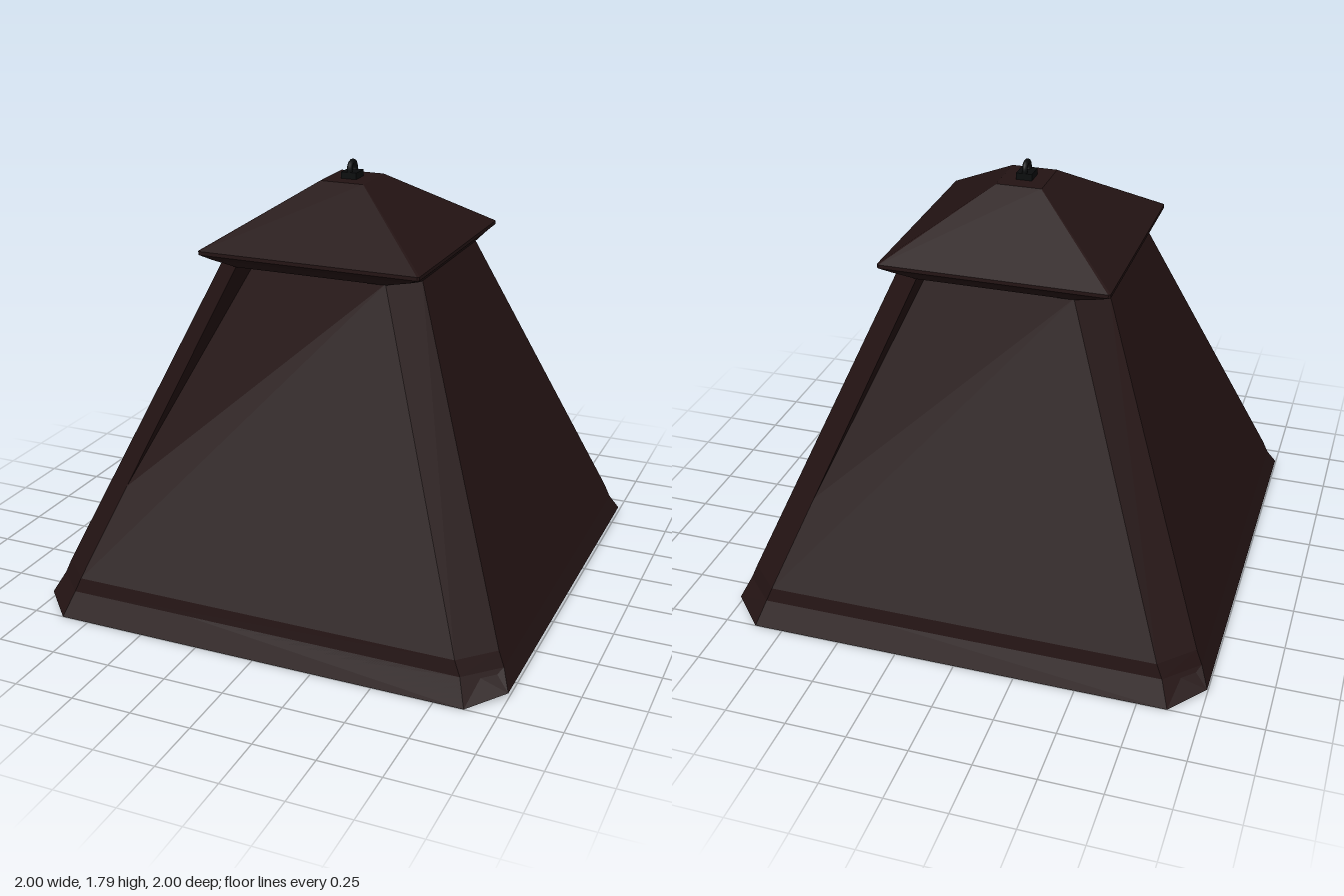
import * as THREE from 'three';

// Octagonal ring (square with cut corners); the x sides and z sides may sit at different heights
function ring({ hx, hz = hx, cut, yx, yz = yx }) {
  const quarter = [[hx, hz - cut, yx], [hx - cut, hz, yz]];
  const corners = [[1, 1], [-1, 1], [-1, -1], [1, -1]];
  const points = [];
  corners.forEach(([sx, sz], i) => {
    const pair = i % 2 ? [...quarter].reverse() : quarter;
    pair.forEach(([x, z, y]) => points.push(new THREE.Vector3(x * sx, y, z * sz)));
  });
  return points;
}

function facets(corners) {
  const geometry = new THREE.BufferGeometry().setFromPoints(corners);
  geometry.computeVertexNormals();
  return geometry;
}

// Skin a list of rings into one faceted surface, leaving out the listed sides
function loft(specs, openSides = []) {
  const rings = specs.map(ring);
  const corners = [];
  for (let r = 0; r < rings.length - 1; r++) {
    for (let i = 0; i < 8; i++) {
      if (openSides.includes(i)) continue;
      const j = (i + 1) % 8;
      const a = rings[r][i], b = rings[r][j], c = rings[r + 1][j], d = rings[r + 1][i];
      corners.push(a, d, b, b, d, c);
    }
  }
  return facets(corners);
}

// Sloping panel with a triangular dent that deepens towards one upper corner
function dentedPanel(lower, upper, side) {
  const right = lower[side], left = lower[side + 1];
  const topRight = upper[side], topLeft = upper[side + 1];
  const start = left.clone().lerp(topLeft, 0.3);
  const deep = topLeft.clone();
  deep.z *= 0.5;
  return facets([
    left, right, topRight,
    left, topRight, start,
    start, topRight, deep,
    start, deep, topLeft,
    topLeft, deep, topRight,
  ]);
}

export function createModel() {
  const group = new THREE.Group();
  const shadeMaterial = new THREE.MeshStandardMaterial({
    color: 0x231313, flatShading: true, side: THREE.DoubleSide,
  });
  const metalMaterial = new THREE.MeshStandardMaterial({ color: 0x0a0c0d });

  const add = (name, geometry, material, y = 0) => {
    const mesh = new THREE.Mesh(geometry, material);
    mesh.name = name;
    mesh.position.y = y;
    group.add(mesh);
    return mesh;
  };

  // Recessed base plate and the flared lip around it
  const shadeFoot = { hx: 0.94, cut: 0.13, yx: 0.16 };
  const shadeTop = { hx: 0.43, cut: 0.11, yx: 1.41 };
  add('baseAndLip', loft([
    { hx: 0, cut: 0, yx: 0.14 },
    { hx: 0.93, cut: 0.13, yx: 0.14 },
    { hx: 1.00, cut: 0.13, yx: 0.025, yz: 0 },
    { hx: 0.965, hz: 0.95, cut: 0.13, yx: 0.1 },
    shadeFoot,
  ]), shadeMaterial);

  // Round fitting in the middle of the base plate
  add('baseFitting', new THREE.CylinderGeometry(0.2, 0.2, 0.03, 24), shadeMaterial, 0.13);

  // Sloping walls, with dented panels at front (side 1) and back (side 5)
  add('walls', loft([shadeFoot, shadeTop], [1, 5]), shadeMaterial);
  add('frontPanel', dentedPanel(ring(shadeFoot), ring(shadeTop), 1), shadeMaterial);
  add('backPanel', dentedPanel(ring(shadeFoot), ring(shadeTop), 5), shadeMaterial);

  // Square cap with moulded eaves and a small flat top
  add('roof', loft([
    { hx: 0.43, cut: 0.11, yx: 1.405 },
    { hx: 0.45, cut: 0.03, yx: 1.43 },
    { hx: 0.472, cut: 0.008, yx: 1.45 },
    { hx: 0.472, cut: 0.008, yx: 1.465 },
    { hx: 0.095, hz: 0.11, cut: 0.002, yx: 1.71 },
    { hx: 0, cut: 0, yx: 1.71 },
  ]), shadeMaterial);

  // Hanging loop on its mounting block
  add('loopBase', new THREE.BoxGeometry(0.066, 0.03, 0.08), metalMaterial, 1.722);
  const loop = add('hangingLoop', new THREE.TorusGeometry(0.03, 0.011, 10, 28), metalMaterial, 1.745);
  loop.rotation.y = Math.PI / 2;

  return group;
}
